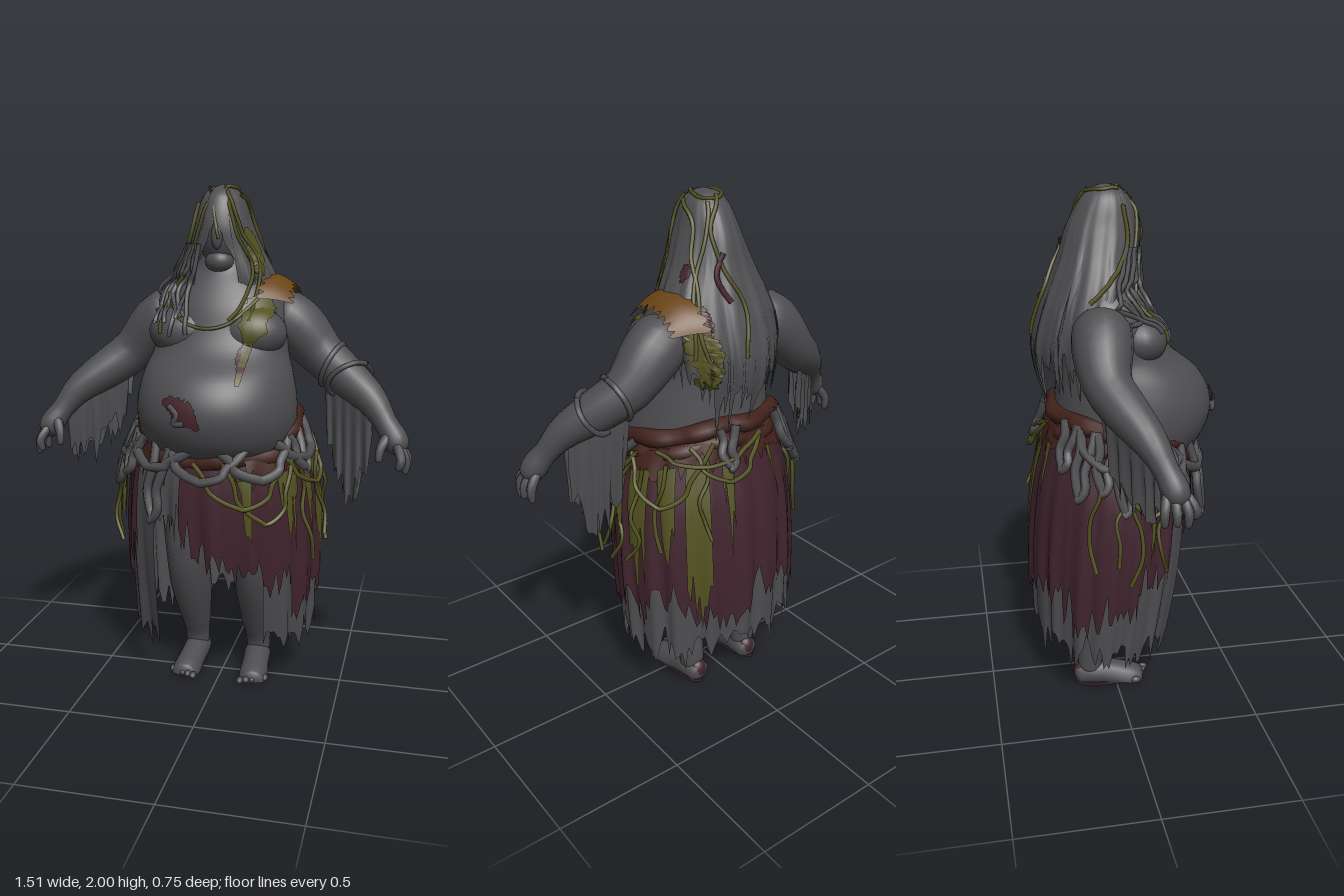
import * as THREE from 'three';
import { mergeVertices } from 'three/addons/utils/BufferGeometryUtils.js';

const V = (x, y, z) => new THREE.Vector3(x, y, z);
const PI = Math.PI, TAU = PI * 2;

export function createModel() {
  const root = new THREE.Group();
  const mat = (name, color) => new THREE.MeshStandardMaterial({ name, color, side: THREE.DoubleSide });
  const grey = mat('ashen grey', 0x4e4e51), purple = mat('rotten purple', 0x41242e);
  const olive = mat('olive moss', 0x525120), rust = mat('rust sash', 0x43221c);
  const ochre = mat('ochre strap', 0x694415), wound = mat('dark wound', 0x47242c);
  let seed = 7;
  const rnd = () => (seed = (seed * 16807) % 2147483647) / 2147483647;

  const add = (name, geo, m) => {
    const mesh = new THREE.Mesh(geo, m);
    mesh.name = name;
    root.add(mesh);
    return mesh;
  };

  // Grid surface from a rule; seams are welded so shading stays smooth
  function surface(nu, nv, fn) {
    const pos = [], idx = [];
    for (let i = 0; i <= nu; i++) for (let j = 0; j <= nv; j++) pos.push(...fn(i / nu, j / nv, j, i).toArray());
    for (let i = 0; i < nu; i++) for (let j = 0; j < nv; j++) {
      const a = i * (nv + 1) + j, b = a + nv + 1;
      idx.push(a, b, a + 1, b, b + 1, a + 1);
    }
    let g = new THREE.BufferGeometry();
    g.setAttribute('position', new THREE.Float32BufferAttribute(pos, 3));
    g.setIndex(idx);
    g = mergeVertices(g, 1e-5);
    g.computeVertexNormals();
    return g;
  }

  // Smooth lookup in rows of [y, halfWidth, zFront, zBack], listed top down
  function at(rows, y) {
    let i = 0;
    while (i < rows.length - 2 && y < rows[i + 1][0]) i++;
    const p = rows[i], q = rows[i + 1], o = rows[i - 1] || p, n = rows[i + 2] || q, h = q[0] - p[0];
    const t = THREE.MathUtils.clamp((y - p[0]) / h, 0, 1), t2 = t * t, t3 = t2 * t;
    return p.map((_, k) => (2 * t3 - 3 * t2 + 1) * p[k] + (3 * t2 - 2 * t3) * q[k]
      + (t3 - 2 * t2 + t) * h * (q[k] - o[k]) / (q[0] - o[0]) + (t3 - t2) * h * (n[k] - p[k]) / (n[0] - p[0]));
  }
  const onShell = (rows, a, y, off = 0, f = 1) => {
    const [, rx, zf, zb] = at(rows, y);
    return V((rx * f + off) * Math.sin(a), y, (zf + zb) / 2 + ((zf - zb) / 2 * f + off) * Math.cos(a));
  };

  // Sheet wrapped round a shell between two angles, with an optional torn hem and folds
  function panel(name, m, rows, a0, a1, top, bot, { off = 0, jag = 0, fold = 0, k = 17, n = 64, h = 24, ease = 1 } = {}) {
    const hem = Array.from({ length: n + 1 }, () => jag * (rnd() - 0.5) * (rnd() < 0.2 ? 2 : 1));
    return add(name, surface(h, n, (u, v, j) => {
      const a = a0 + (a1 - a0) * v, t = top(a), y = t + (bot(a) + hem[j] - t) * Math.pow(u, ease);
      return onShell(rows, a, y, off, 1 + fold * u * (Math.sin(k * a) + 0.5 * Math.sin(k * 1.7 * a)));
    }), m);
  }

  // Rounded limb through points [x, y, z, radius]
  function limb(name, m, pts, ref = V(0, 0, 1), nu = 28, nv = 18, floor = -9) {
    const c = new THREE.CatmullRomCurve3(pts.map(p => V(p[0], p[1], p[2])));
    const r = new THREE.CatmullRomCurve3(pts.map((p, i) => V(p[3], i, 0)));
    return add(name, surface(nu, nv, (s, v) => {
      const u = (1 - Math.cos(PI * s)) / 2, e = Math.min(1, 12 * u, 12 * (1 - u));
      const t = c.getTangent(u), n = ref.clone().cross(t).normalize(), b = n.clone().cross(t);
      const rad = r.getPoint(u).x * Math.sqrt(Math.max(0, 1 - (1 - e) ** 2));
      const p = c.getPoint(u).addScaledVector(n, rad * Math.cos(v * TAU)).addScaledVector(b, rad * Math.sin(v * TAU));
      p.y = Math.max(p.y, floor);
      return p;
    }), m);
  }
  const tube = (name, m, pts, r, n = 28) =>
    add(name, new THREE.TubeGeometry(new THREE.CatmullRomCurve3(pts), n, r, 6), m);
  const ball = (name, m, x, y, z, rx, ry, rz) =>
    add(name, new THREE.SphereGeometry(1, 24, 16).scale(rx, ry, rz).translate(x, y, z), m);

  // Torso, breasts and head
  const torsoRows = [[1.76, .07, .06, -.09], [1.69, .12, .08, -.14], [1.63, .2, .12, -.18], [1.55, .25, .165, -.2],
    [1.45, .265, .2, -.2], [1.38, .265, .25, -.195], [1.3, .29, .35, -.2], [1.2, .31, .4, -.21],
    [1.1, .31, .39, -.22], [1.0, .28, .32, -.21], [.93, .23, .18, -.18]];
  const torso = panel('torso', grey, torsoRows, 0, TAU, () => 1.76, () => .93, { h: 44 });
  const solids = [torso];
  for (const s of [1, -1]) solids.push(ball('breast', grey, s * .13, 1.45, .09, .14, .1, .11));
  solids.push(ball('head', grey, 0, 1.83, 0, .095, .15, .115));
  solids.push(ball('nose', grey, 0, 1.81, .105, .022, .05, .02));
  solids.push(ball('jaw', grey, 0, 1.715, .06, .055, .045, .05));

  for (const s of [1, -1]) {
    const X = p => [s * p[0], ...p.slice(1)];
    // Arms, hands and fingers
    const arm = [[.17, 1.54, -.05, .1], [.28, 1.465, -.07, .112], [.39, 1.35, -.07, .09], [.49, 1.275, -.02, .08],
      [.59, 1.2, .04, .062], [.65, 1.12, .08, .045], [.69, 1.06, .105, .05], [.71, 1.01, .12, .033]].map(X);
    solids.push(limb('arm', grey, arm));
    for (const [x, y, z] of [[.728, .945, .06], [.74, .95, .1], [.732, .94, .14], [.705, .96, .17]])
      limb('finger', grey, [[.69, 1.06, .1 + (z - .11) * .5, .018], [(x + .71) / 2 + .01, 1.0, z, .018], [x, y, z, .012]].map(X), V(0, 0, 1), 10, 8);
    limb('thumb', grey, [[.67, 1.09, .11, .025], [.64, 1.04, .15, .018], [.632, .985, .165, .013]].map(X), V(0, 0, 1), 10, 8);

    // Tattered sleeve hanging below the forearm, two layers
    const c = new THREE.CatmullRomCurve3(arm.map(p => V(p[0], p[1], p[2])));
    for (const dz of [-.04, .035]) {
      const hem = Array.from({ length: 25 }, () => rnd() * .14);
      add('sleeve tatter', surface(8, 24, (u, v, j) => {
        const p = c.getPoint(.3 + (s > 0 ? .27 : .36) * v), drop = (s > 0 ? .36 : .22) * Math.sin(PI * (.16 + .76 * v)) + hem[j];
        return p.add(V(s * .01 * u, -.02 - u * drop, dz * (1 - v * .5) * (1 - .5 * u) + .012 * Math.sin(v * 30) * u));
      }), grey);
    }
    // Coils hugging the left elbow
    if (s > 0) for (const u0 of [.34, .44]) tube('arm coil', grey, Array.from({ length: 12 }, (_, i) => {
      const a = i / 11 * TAU, u = u0 + .03 * Math.sin(a + u0 * 30), t = c.getTangent(u);
      const n = V(0, 0, 1).cross(t).normalize(), b = n.clone().cross(t);
      return c.getPoint(u).addScaledVector(n, .087 * Math.cos(a)).addScaledVector(b, .087 * Math.sin(a));
    }), .011, 40);

    // Legs, feet, toes and stained soles
    limb('leg', grey, [[.12, 1.02, 0, .13], [.135, .75, .02, .115], [.14, .52, .03, .09], [.14, .36, -.02, .086],
      [.135, .2, -.075, .064], [.135, .12, -.1, .052], [.135, .03, -.105, .048]].map(X));
    limb('foot', grey, [[.13, .03, -.17, .042], [.133, .045, -.1, .055], [.138, .03, -.02, .055], [.143, .004, .06, .06],
      [.145, -.004, .115, .048]].map(X), V(0, 1, 0), 24, 16, .004);
    for (let i = 0; i < 5; i++)
      ball('toe', grey, s * (.1 + .024 * i), .016, .125 - .012 * i, .014, .014, .02);
    add('stained sole', new THREE.CylinderGeometry(1, 1, .012, 24).scale(.052, 1, .142).translate(s * .138, .006, -.028), purple);
    ball('stained heel', purple, s * .131, .05, -.137, .04, .045, .037);
  }

  // Long hair, parted at the face
  const hairRows = [[2, .0, .0, -.02], [1.99, .04, .04, -.055], [1.95, .08, .085, -.1], [1.85, .115, .118, -.155], [1.75, .155, .115, -.185],
    [1.65, .205, .12, -.225], [1.55, .235, .11, -.265], [1.4, .225, .1, -.295], [1.2, .2, .08, -.255]];
  solids.push(panel('hair', grey, hairRows, .42, TAU - .42, () => 2,
    a => 1.42 - .12 * Math.cos(a) * (Math.cos(a) > 0 ? -1.6 : -1.3), { jag: .17, fold: .025, k: 13, n: 110, h: 36, ease: 1.5 }));
  panel('fringe', grey, hairRows, -.45, .45, () => 2, a => 1.87 - .35 * Math.abs(a), { off: .004, jag: .04, n: 20, ease: 1.5 });

  // Surface projection, for details lying on the body
  const ray = new THREE.Raycaster();
  solids.forEach(m => m.updateMatrixWorld());
  let depth = 0;
  function project(side, p, q, lift) {
    const sgn = side === 'back' || side === 'right' ? -1 : 1;
    const make = d => side === 'top' ? V(p, d, q) : side === 'front' || side === 'back' ? V(p, q, d) : V(d, q, p);
    const dir = make(-sgn).sub(make(0));
    ray.set(make(3 * sgn), dir);
    const hit = ray.intersectObjects(solids, false)[0];
    if (!hit) return make(depth);
    depth = 3 * sgn - sgn * hit.distance;
    const n = hit.face.normal;
    return hit.point.addScaledVector(n, n.dot(dir) > 0 ? -lift : lift);
  }
  // Ragged ribbon laid on the body along a path of [p, q, width]
  function patch(name, m, side, path, n = 30) {
    const c = new THREE.CatmullRomCurve3(path.map(p => V(p[0], p[1], 0)));
    const w = new THREE.CatmullRomCurve3(path.map((p, i) => V(p[2], i, 0)));
    const edge = Array.from({ length: n + 1 }, () => .75 + .5 * rnd());
    add(name, surface(n, 12, (u, v, j, i) => {
      const p = c.getPoint(u), t = c.getTangent(u), k = (v - .5) * w.getPoint(u).x * edge[i];
      return project(side, p.x - t.y * k, p.y + t.x * k, .008);
    }), m);
  }
  function strand(name, m, side, path, r) {
    const c = new THREE.CatmullRomCurve3(path.map(p => V(p[0], p[1], 0)));
    tube(name, m, Array.from({ length: 15 }, (_, i) => c.getPoint(i / 14)).map(p => project(side, p.x, p.y, r * .7)), r, 36);
  }

  // Shoulder strap arching over the left shoulder
  add('shoulder strap', surface(26, 10, (u, v, j, i) => {
    const a = 1.15 - 2.45 * u, k = THREE.MathUtils.clamp(v + (v - .5) * .25 * Math.sin(i * 2.3), -.1, 1.1);
    return V(.165 + .115 * k, 1.52 + (.15 - .05 * k * k) * Math.cos(a), -.06 + (.2 - .06 * k) * Math.sin(a));
  }), ochre);

  // Moss, stains and belly wound
  patch('chest moss', olive, 'front', [[.18, 1.58, .06], [.165, 1.54, .11], [.155, 1.48, .1], [.14, 1.42, .04], [.125, 1.28, .02]]);
  patch('chest stain', wound, 'front', [[.135, 1.42, .03], [.125, 1.37, .04], [.13, 1.32, .02]]);
  patch('back moss', olive, 'back', [[.18, 1.58, .06], [.17, 1.5, .1], [.15, 1.42, .07], [.15, 1.34, .03]]);
  patch('back stain', wound, 'back', [[.16, 1.63, .04], [.15, 1.58, .045], [.15, 1.54, .02]]);
  patch('hair moss', olive, 'left', [[.06, 1.84, .02], [.045, 1.77, .06], [.05, 1.7, .04], [.05, 1.66, .01]]);
  patch('hair stain', wound, 'left', [[-.09, 1.76, .02], [-.1, 1.73, .035], [-.1, 1.7, .015]]);
  patch('belly wound', wound, 'front', [[-.14, 1.22, .02], [-.1, 1.215, .06], [-.06, 1.19, .08], [-.02, 1.155, .05], [0, 1.13, .02]]);
  strand('wound gut', grey, 'front', [[-.11, 1.21], [-.08, 1.18], [-.09, 1.15], [-.05, 1.15]], .011);

  // Wavy locks over the chest, vines over the hair
  for (let i = 0; i < 8; i++) {
    const w = .04 * rnd(), e = 1.42 + .12 * rnd();
    strand('front lock', grey, 'front', [[-.065 - .008 * i, 1.78], [-.085 - .013 * i, 1.68], [-.08 - .02 * i - w, 1.6],
      [-.13 - .018 * i + w, 1.53], [-.1 - .021 * i, e]], .009);
  }
  for (const p of [[[.0, 1.985], [-.04, 1.92], [-.08, 1.8], [-.13, 1.68], [-.19, 1.56], [-.2, 1.45]],
    [[.02, 1.985], [.05, 1.9], [.08, 1.8], [.13, 1.7], [.1, 1.55], [.06, 1.5]], [[-.03, 1.97], [-.01, 1.9], [.01, 1.8]],
    [[.03, 1.97], [.05, 1.93], [.09, 1.82], [.15, 1.7], [.14, 1.5]],
    [[-.2, 1.6], [-.12, 1.5], [-.02, 1.47], [.08, 1.5], [.16, 1.58]]]) strand('front vine', olive, 'front', p, .007);
  for (const p of [[[0, 1.98], [.06, 1.88], [.05, 1.75], [.0, 1.62], [.03, 1.45]],
    [[.04, 1.96], [.09, 1.82], [.16, 1.65], [.19, 1.45]]]) strand('back vine', olive, 'back', p, .008);
  strand('crown vine', olive, 'top', [[-.02, .06], [.04, .02], [.05, -.05], [0, -.08], [-.05, -.03], [-.04, .03]], .007);
  strand('back stain cord', wound, 'back', [[.04, 1.8], [.08, 1.72], [.05, 1.64]], .01);
  strand('side vine', olive, 'left', [[.02, 1.96], [-.06, 1.9], [-.1, 1.78], [-.17, 1.65], [-.24, 1.45]], .008);
  strand('side vine', olive, 'right', [[.04, 1.93], [.05, 1.8], [.0, 1.7], [-.1, 1.6]], .008);

  // Layered skirt, open at the front
  const skirtRows = [[1.15, .27, .26, -.21], [1.0, .325, .3, -.25], [.85, .36, .315, -.285], [.6, .375, .3, -.31],
    [.35, .37, .26, -.31], [.1, .365, .2, -.3]];
  const waist = a => 1.06 - .07 * Math.cos(a);
  panel('underskirt', grey, skirtRows, .62, TAU - .62, waist, a => .24 - .03 * Math.cos(a), { jag: .11, fold: .03, n: 130 });
  panel('front tatter', grey, skirtRows, -.66, -.25, waist, () => .72, { off: -.01, jag: .16, fold: .03, n: 16 });
  const overskirts = [['front', -.27, .56, a => .6 - .08 * Math.sin(a * 3), 26], ['side', .5, 1.9, a => (a < 1.0 ? .54 : .39) + .04 * Math.sin(a * 5), 46],
    ['back', 1.85, 4.9, a => .43 + .05 * Math.sin(a * 4), 80], ['right', 4.85, 5.35, () => .55, 18]];
  for (const [name, a0, a1, bot, n] of overskirts)
    panel(name + ' overskirt', purple, skirtRows, a0, a1, waist, bot, { off: .012, jag: .13, fold: .03, n });
  for (const [a, w, b] of [[.42, .24, .72], [.92, .28, .7], [1.25, .18, .68], [1.52, .24, .62], [1.85, .28, .57], [2.2, .22, .66], [2.55, .26, .42],
    [2.9, .14, .75], [3.5, .1, .8], [5.0, .14, .7]])
    panel('skirt moss', olive, skirtRows, a - w / 2, a + w / 2, x => waist(x) - .07,
      x => b + .2 * Math.abs(x - a) / w * 2, { off: .032, jag: .22, fold: .02, n: 9, h: 14 });

  // Twisted sash with a ragged lower edge
  panel('sash hem', rust, skirtRows, .45, TAU - .45, waist, a => waist(a) - .09, { off: .022, jag: .08, fold: .02, n: 90, h: 6 });
  for (let k = 0; k < 2; k++) {
    const pts = Array.from({ length: 40 }, (_, i) => {
      const a = i / 40 * TAU, y = 1.075 - .06 * Math.cos(a);
      return onShell(skirtRows, a, y, .008 * Math.sin(9 * a + k * PI)).add(V(0, .03 * (k ? 1 : -1) + .008 * Math.sin(5 * a), 0));
    });
    add('sash', new THREE.TubeGeometry(new THREE.CatmullRomCurve3(pts, true), 120, .036, 8, true), rust);
  }
  // Gut garlands and hanging loops round the hips: [angle, span, drop]
  const swag = (name, m, a, w, drop, r, off, top = 0) => tube(name, m, Array.from({ length: 11 }, (_, i) => {
    const t = i / 10, b = a + (t - .5) * w + .03 * Math.sin(i * 2.1);
    return onShell(skirtRows, b, waist(b) + top - drop * Math.sin(PI * t), off + .02 * Math.sin(PI * t));
  }), r, 36);
  for (const a of [-1.9, -1.25, -.6, 0, .6, 1.25]) swag('gut garland', grey, a, .85, .08 + .05 * rnd(), .019, .035, .04);
  for (const [a, d] of [[-.5, .3], [-.95, .16], [-1.2, .24], [-1.4, .2], [-1.65, .26], [-1.9, .2], [-2.15, .25], [-2.4, .17], [1.15, .14], [2.9, .15]])
    swag('gut loop', grey, a, .2, d, .018, .04, .05);
  for (const [a, w, d] of [[.4, 1, .17], [.6, .8, .24], [1.3, .9, .15], [2.2, 1, .2], [2.9, .9, .14], [2.7, 1.3, .07], [4.9, .8, .2]])
    swag('moss garland', olive, a, w, d, .009, .045);
  // Dangling roots at the sides
  for (const a of [1.1, 1.4, 1.6, 1.85, 2.2, 2.6, 4.3, 4.6, 4.8, 5.1]) {
    const y = waist(a) - .05, len = .25 + .2 * rnd();
    tube('dangling root', olive, [0, .25, .5, .75, 1].map(t => onShell(skirtRows, a + .2 * (rnd() - .5), y - len * t, .03 + .04 * rnd())), .008, 24);
  }
  return root;
}
